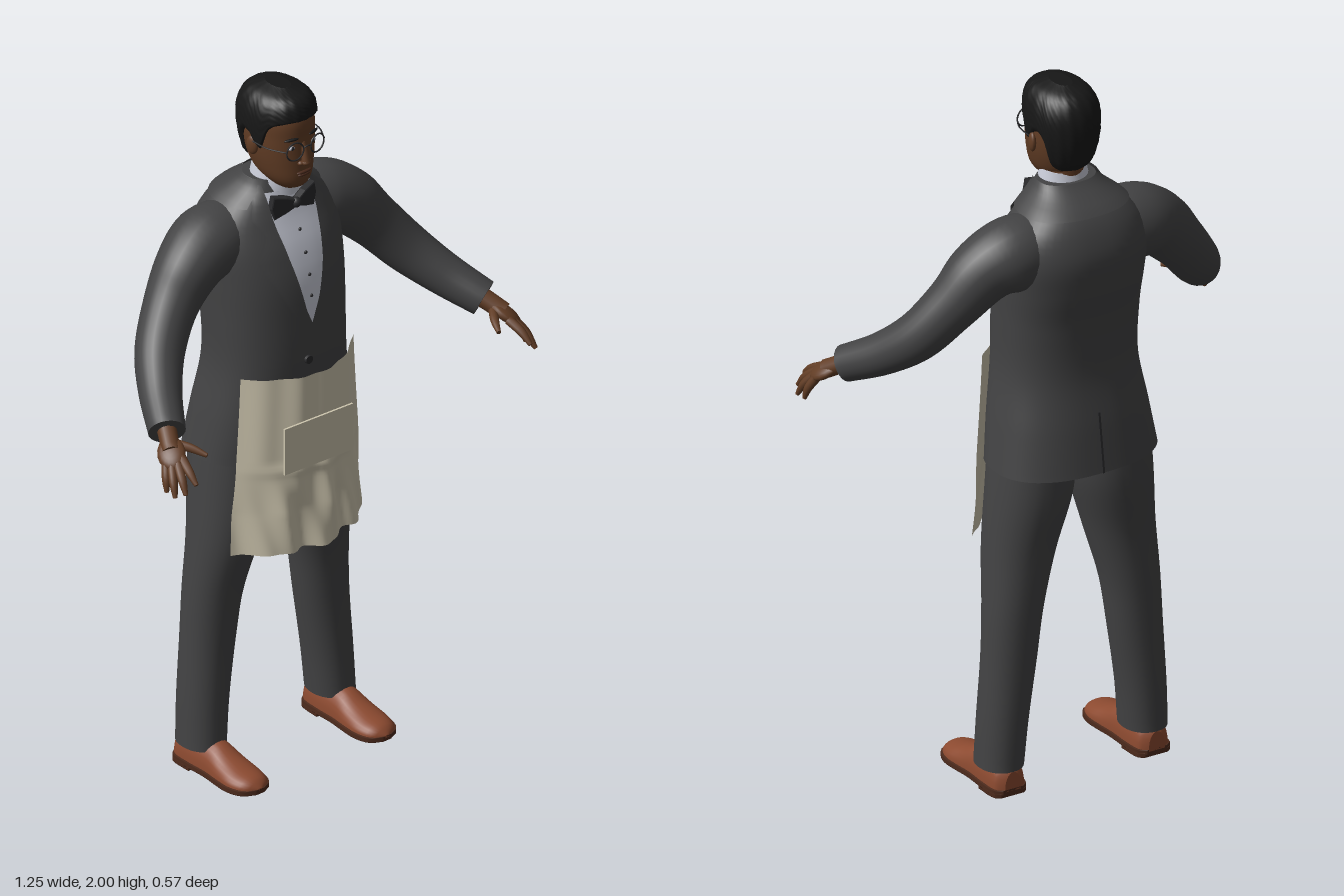
import * as THREE from 'three';

const mat = (name, color, side = THREE.FrontSide) => {
  const m = new THREE.MeshStandardMaterial({ color, side });
  m.name = name;
  return m;
};
const M = {
  suit: mat('charcoal suit', 0x434344, THREE.DoubleSide),
  skin: mat('brown skin', 0x623d25),
  lips: mat('dark lips', 0x4a2a1c),
  hair: mat('black hair', 0x171717, THREE.DoubleSide),
  shirt: mat('pale shirt', 0xc9ccd8, THREE.DoubleSide),
  apron: mat('cream apron', 0xcdc5ae, THREE.DoubleSide),
  shoe: mat('tan leather', 0x8c4a30),
  sole: mat('dark sole', 0x4d2b1d),
  dark: mat('dark trim', 0x29292b),
};
const { sin, cos, abs, sign, PI, max, min } = Math;
const V = (x, y, z) => new THREE.Vector3(x, y, z);

function mesh(parent, name, geo, material, x = 0, y = 0, z = 0) {
  const m = new THREE.Mesh(geo, material);
  m.name = name;
  m.position.set(x, y, z);
  parent.add(m);
  return m;
}

// Smooth lookup in rows of [t, ...values]
function at(K, t) {
  let i = 0;
  while (i < K.length - 2 && t > K[i + 1][0]) i++;
  const a = K[i], b = K[i + 1], p = K[i - 1] || a, q = K[i + 2] || b, h = b[0] - a[0];
  const s = min(1, max(0, (t - a[0]) / h)), s2 = s * s, s3 = s2 * s;
  return a.map((_, k) => {
    const m0 = (b[k] - p[k]) / (b[0] - p[0]) * h, m1 = (q[k] - a[k]) / (q[0] - a[0]) * h;
    return (2 * s3 - 3 * s2 + 1) * a[k] + (s3 - 2 * s2 + s) * m0 + (3 * s2 - 2 * s3) * b[k] + (s3 - s2) * m1;
  });
}

// Surface from fn(u, v); closed ones wrap in u and get flat end caps
function grid(fn, nu, nv, closed = true) {
  const pos = [], idx = [], w = closed ? nu : nu + 1;
  for (let j = 0; j <= nv; j++) for (let i = 0; i < w; i++) pos.push(...fn(i / nu, j / nv));
  for (let j = 0; j < nv; j++) for (let i = 0; i < nu; i++) {
    const a = j * w + i, b = j * w + (i + 1) % w;
    idx.push(a, b, a + w, b, b + w, a + w);
  }
  if (closed) for (const v of [0, 1]) {
    const base = pos.length / 3, c = [0, 0, 0];
    for (let i = 0; i < nu; i++) {
      const p = fn(i / nu, v);
      pos.push(...p);
      p.forEach((e, k) => { c[k] += e / nu; });
    }
    pos.push(...c);
    for (let i = 0; i < nu; i++) {
      const a = base + i, b = base + (i + 1) % nu;
      idx.push(...(v ? [a, b, base + nu] : [b, a, base + nu]));
    }
  }
  const g = new THREE.BufferGeometry();
  g.setAttribute('position', new THREE.Float32BufferAttribute(pos, 3));
  g.setIndex(idx);
  g.computeVertexNormals();
  return g;
}

// Upright body from rows of [y, centreX, halfWidth, backZ, frontZ]
function ringPoint(K, n, th, y, s = 1, grow = 1) {
  const [, cx, rx, zb, zf] = at(K, y), e = 2 / n, c = cos(th), q = sin(th);
  return [s * cx + grow * rx * sign(q) * abs(q) ** e, y,
    (zb + zf) / 2 + grow * (zf - zb) / 2 * sign(c) * abs(c) ** e];
}
function upright(K, n, nu, nv, s = 1) {
  const y0 = K[0][0], y1 = K[K.length - 1][0];
  return grid((u, v) => ringPoint(K, n, u * 2 * PI, y0 + (y1 - y0) * v, s), nu, nv);
}

// Round tube with a changing radius
function sweep(points, radii, nu = 10, nv = 12) {
  const curve = new THREE.CatmullRomCurve3(points), f = curve.computeFrenetFrames(nv);
  const R = radii.map((r, i) => [i / (radii.length - 1), r]);
  return grid((u, v) => {
    const j = Math.round(v * nv), r = at(R, v)[1], a = u * 2 * PI;
    return curve.getPoint(v).addScaledVector(f.normals[j], r * cos(a))
      .addScaledVector(f.binormals[j], r * sin(a)).toArray();
  }, nu, nv);
}
function ball(parent, name, material, x, y, z, sx, sy, sz) {
  const m = mesh(parent, name, new THREE.SphereGeometry(1, 16, 12), material, x, y, z);
  m.scale.set(sx, sy, sz);
  return m;
}

const TORSO = [
  [0.93, 0, 0.238, -0.285, 0.04], [1.05, 0, 0.22, -0.268, 0.055], [1.2, 0, 0.197, -0.245, 0.066],
  [1.35, 0, 0.198, -0.252, 0.062], [1.46, 0, 0.203, -0.272, 0.052], [1.55, 0, 0.205, -0.28, 0.028],
  [1.62, 0, 0.185, -0.262, -0.002], [1.67, 0, 0.14, -0.232, -0.02], [1.705, 0, 0.1, -0.19, -0.03],
  [1.73, 0, 0.082, -0.158, -0.038]];
const frontZ = (x, y) => {
  const [, , rx, zb, zf] = at(TORSO, y);
  return (zb + zf) / 2 + (zf - zb) / 2 * max(0, 1 - abs(x / rx) ** 2.4) ** (1 / 2.4);
};
// Cloth lying on the chest, from rows of [y, x0, x1] going up
function drape(rows, off, s = 1) {
  const n = rows.length - 1;
  return grid((u, v) => {
    const i = min(n - 1, Math.floor(v * n + 1e-6)), f = v * n - i, a = rows[i], b = rows[i + 1];
    const [y, l, r] = a.map((e, k) => e + (b[k] - e) * f);
    const x = s > 0 ? l + (r - l) * u : -(r + (l - r) * u);
    return [x, y, frontZ(x, y) + off];
  }, 8, n * 5, false);
}

function buildJacket(g) {
  mesh(g, 'jacketBody', upright(TORSO, 2.4, 48, 44), M.suit);
  mesh(g, 'shirtFront', drape([[1.33, 0, 0], [1.4, -0.028, 0.028], [1.5, -0.055, 0.055],
    [1.62, -0.075, 0.075], [1.7, -0.08, 0.08]], 0.005), M.shirt);
  const lapel = [[1.27, -0.003, 0.004], [1.4, 0.027, 0.077], [1.53, 0.057, 0.142], [1.59, 0.068, 0.108],
    [1.6, 0.07, 0.104], [1.64, 0.075, 0.127], [1.72, 0.076, 0.09]];
  for (const s of [1, -1]) mesh(g, 'lapel', drape(lapel, 0.011, s), M.suit);
  // collar around the back of the neck
  mesh(g, 'jacketCollar', grid((u, v) => {
    const th = 0.9 + u * (2 * PI - 1.8);
    return ringPoint(TORSO, 2.4, th, 1.665 + 0.068 * v, 1, 1.07);
  }, 30, 6, false), M.suit);
  mesh(g, 'backVent', new THREE.BoxGeometry(0.006, 0.17, 0.008), M.dark, 0, 1.015, -0.274).rotation.x = 0.14;
  mesh(g, 'jacketButton', new THREE.CylinderGeometry(0.012, 0.012, 0.008, 14), M.dark,
    -0.015, 1.225, frontZ(0, 1.225) + 0.004).rotation.x = PI / 2;
  for (const y of [1.59, 1.53, 1.47, 1.41])
    ball(g, 'shirtStud', M.dark, 0, y, frontZ(0, y) + 0.006, 0.005, 0.005, 0.004);
}

function buildCollarAndBow(g) {
  mesh(g, 'shirtCollar', upright([[1.68, 0, 0.075, -0.16, -0.015], [1.72, 0, 0.07, -0.15, -0.02],
    [1.755, 0, 0.062, -0.143, -0.032]], 2, 28, 6), M.shirt);
  for (const s of [1, -1]) {
    const w = new THREE.Shape([[0.005, 0.009], [0.03, 0.02], [0.066, 0.029], [0.072, 0], [0.064, -0.031],
      [0.03, -0.02], [0.005, -0.009]].map(p => new THREE.Vector2(s * p[0], p[1])));
    mesh(g, 'bowWing', new THREE.ExtrudeGeometry(w, { depth: 0.012, bevelSize: 0.004, bevelThickness: 0.005,
      bevelSegments: 2 }), M.dark, 0, 1.665, -0.008).rotation.y = s * 0.2;
  }
  ball(g, 'bowKnot', M.dark, 0, 1.665, 0.002, 0.014, 0.015, 0.014);
}

function buildArm(g, s) {
  const P = (x, y, z) => V(s * x, y, z);
  mesh(g, 'sleeve', sweep([P(0.10, 1.57, -0.13), P(0.19, 1.557, -0.13), P(0.27, 1.52, -0.115),
    P(0.35, 1.438, -0.095), P(0.425, 1.348, -0.05), P(0.487, 1.28, 0.025), P(0.545, 1.225, 0.12)],
  [0.09, 0.102, 0.09, 0.074, 0.067, 0.058, 0.05], 24, 36), M.suit);
  // hand
  mesh(g, 'wrist', sweep([P(0.53, 1.24, 0.095), P(0.553, 1.217, 0.135), P(0.572, 1.195, 0.17)],
    [0.028, 0.026, 0.026], 12, 6), M.skin);
  const a = V(s * 0.04, -0.05, 0.075).normalize(), n = a.clone().cross(V(s * 0.045, -0.015, -0.04)).normalize();
  const w = n.clone().cross(a);
  const palm = ball(g, 'palm', M.skin, s * 0.574, 1.192, 0.172, 0.038, 0.018, 0.05);
  palm.quaternion.setFromRotationMatrix(new THREE.Matrix4().makeBasis(w, n, a));
  const fingers = [
    [[0.563, 1.187, 0.2], [0.572, 1.165, 0.243], [0.575, 1.14, 0.275]],
    [[0.577, 1.18, 0.2], [0.594, 1.147, 0.24], [0.602, 1.115, 0.264]],
    [[0.589, 1.175, 0.192], [0.609, 1.137, 0.222], [0.618, 1.102, 0.24]],
    [[0.597, 1.172, 0.178], [0.612, 1.137, 0.196], [0.618, 1.105, 0.205]],
    [[0.55, 1.205, 0.152], [0.522, 1.197, 0.192], [0.502, 1.185, 0.232]]];
  fingers.forEach((f, i) => mesh(g, i < 4 ? 'finger' : 'thumb',
    sweep(f.map(p => P(...p)), [0.013, 0.0115, 0.006], 10, 8), M.skin));
}

const LEG = [[0.07, 0.222, 0.062, -0.195, -0.05], [0.2, 0.213, 0.066, -0.198, -0.054],
  [0.38, 0.194, 0.074, -0.2, -0.055], [0.52, 0.18, 0.081, -0.203, -0.044], [0.68, 0.154, 0.096, -0.21, -0.012],
  [0.85, 0.124, 0.112, -0.235, 0.005], [1, 0.112, 0.11, -0.24, 0.01]];
// shoe rows: z, half width, height, centre x
const SHOE = [[-0.195, 0.025, 0.07, 0.222], [-0.18, 0.044, 0.092, 0.222], [-0.12, 0.05, 0.1, 0.221],
  [-0.05, 0.05, 0.094, 0.22], [0, 0.055, 0.072, 0.22], [0.05, 0.057, 0.056, 0.22], [0.09, 0.045, 0.046, 0.219],
  [0.108, 0.026, 0.034, 0.218], [0.114, 0.008, 0.024, 0.218]];
function buildLeg(g, s) {
  mesh(g, 'trouserLeg', upright(LEG, 2.15, 28, 32, s), M.suit);
  mesh(g, 'shoeUpper', grid((u, v) => {
    const [z, w, h, cx] = at(SHOE, -0.195 + 0.309 * v), a = u * 2 * PI;
    return [s * cx + w * cos(a), 0.016 + (h - 0.016) * max(0, sin(a)) ** 0.8, z];
  }, 28, 30), M.shoe);
  const slab = (name, z0, z1, y0, y1) => mesh(g, name, grid((u, v) => {
    const [z, w, , cx] = at(SHOE, z0 + (z1 - z0) * v), a = u * 2 * PI + PI / 4;
    const c = max(-1, min(1, cos(a) * 1.5)), q = max(-1, min(1, sin(a) * 1.5));
    return [s * cx + (w + 0.005) * c, (y0 + y1) / 2 + (y1 - y0) / 2 * q, z];
  }, 24, 24), M.sole);
  slab('sole', -0.195, 0.114, 0.008, 0.022);
  slab('heel', -0.192, -0.11, 0, 0.012);
}

function buildApron(g) {
  mesh(g, 'apronCloth', grid((u, v) => {
    const y = 0.68 + 0.52 * v, t = u * 2 - 1, w = 0.192 + 0.035 * (1 - v) ** 1.2;
    const k = min(1, max(0, (0.95 - y) / 0.15));
    const fold = k * (0.013 * sin(t * 10 + 0.8) + 0.006 * sin(t * 19 + y * 22));
    const crease = 0.006 * Math.exp(-(((y - 0.925) / 0.015) ** 2)) * cos(t * 1.5);
    return [t * w, y, 0.005 + 0.103 * (1 - t * t) + fold * (1 - 0.4 * t * t) + crease + 0.003 * sin(t * 14)];
  }, 60, 48, false), M.apron);
  mesh(g, 'apronPocket', new THREE.BoxGeometry(0.228, 0.138, 0.006), M.apron, -0.025, 1.01, 0.121).rotation.y = -0.04;
}

const HEAD = [[1.713, 0, 0.03, -0.07, 0.005], [1.725, 0, 0.045, -0.1, 0.024], [1.75, 0, 0.063, -0.135, 0.034],
  [1.79, 0, 0.076, -0.16, 0.035], [1.83, 0, 0.083, -0.172, 0.034], [1.87, 0, 0.085, -0.178, 0.033],
  [1.92, 0, 0.083, -0.175, 0.03], [1.96, 0, 0.066, -0.15, 0.008], [1.985, 0, 0.03, -0.11, -0.03]];
const HAIR = [[1.75, 0, 0.074, -0.155, 0.03], [1.83, 0, 0.088, -0.186, 0.036], [1.9, 0, 0.094, -0.194, 0.038],
  [1.95, 0, 0.087, -0.184, 0.038], [1.982, 0, 0.064, -0.158, 0.018], [1.998, 0, 0.025, -0.115, -0.03]];
const HAIRLINE = [[0, 1.925], [0.6, 1.922], [1.05, 1.9], [1.3, 1.835], [1.45, 1.84], [1.6, 1.872],
  [1.9, 1.865], [2.2, 1.785], [PI, 1.765]];
function buildHead(g) {
  mesh(g, 'neck', upright([[1.66, 0, 0.06, -0.145, -0.035], [1.8, 0, 0.056, -0.145, -0.03]], 2, 24, 4), M.skin);
  mesh(g, 'face', upright(HEAD, 2.2, 40, 32), M.skin);
  mesh(g, 'hair', grid((u, v) => {
    const th = u * 2 * PI, y0 = at(HAIRLINE, th > PI ? 2 * PI - th : th)[1];
    const y = y0 + (1.998 - y0) * sin(v * PI / 2);
    const curl = 0.014 * sin(u * 150 + v * 31) * sin(v * 27 + u * 40);
    return ringPoint(HAIR, 2.2, th, y, 1, v === 0 ? 0.93 : 1 + curl);
  }, 96, 24), M.hair);
  mesh(g, 'nose', sweep([V(0, 1.86, 0.028), V(0, 1.83, 0.037), V(0, 1.803, 0.042)], [0.007, 0.009, 0.012], 12, 8), M.skin);
  ball(g, 'noseTip', M.skin, 0, 1.803, 0.042, 0.013, 0.009, 0.012);
  ball(g, 'upperLip', M.lips, 0, 1.772, 0.034, 0.025, 0.005, 0.007);
  ball(g, 'lowerLip', M.lips, 0, 1.764, 0.033, 0.021, 0.005, 0.007);
  for (const s of [1, -1]) {
    ball(g, 'nostril', M.skin, s * 0.012, 1.801, 0.034, 0.009, 0.007, 0.009);
    ball(g, 'eyeWhite', M.shirt, s * 0.035, 1.85, 0.025, 0.012, 0.0055, 0.006);
    ball(g, 'iris', M.dark, s * 0.035, 1.85, 0.029, 0.0055, 0.0055, 0.003);
    const brow = ball(g, 'eyebrow', M.hair, s * 0.038, 1.876, 0.027, 0.021, 0.004, 0.005);
    brow.rotation.set(0, s * 0.35, s * -0.05);
    ball(g, 'ear', M.skin, s * 0.087, 1.838, -0.073, 0.01, 0.028, 0.018).rotation.y = s * -0.3;
    // round spectacles
    mesh(g, 'spectacleRim', new THREE.TorusGeometry(0.026, 0.0022, 6, 28), M.dark, s * 0.038, 1.848, 0.043).rotation.y = s * 0.15;
    mesh(g, 'spectacleArm', sweep([V(s * 0.064, 1.852, 0.04), V(s * 0.088, 1.853, -0.01), V(s * 0.092, 1.853, -0.075)],
      [0.002, 0.002, 0.002], 6, 8), M.dark);
  }
  mesh(g, 'spectacleBridge', sweep([V(-0.013, 1.852, 0.046), V(0, 1.856, 0.049), V(0.013, 1.852, 0.046)],
    [0.002, 0.002, 0.002], 6, 6), M.dark);
}

export function createModel() {
  const model = new THREE.Group();
  model.name = 'manInSuitAndApron';
  const part = (name, build, ...args) => {
    const g = new THREE.Group();
    g.name = name;
    build(g, ...args);
    model.add(g);
  };
  part('jacket', buildJacket);
  part('collarAndBow', buildCollarAndBow);
  part('leftArm', buildArm, 1);
  part('rightArm', buildArm, -1);
  part('leftLeg', buildLeg, 1);
  part('rightLeg', buildLeg, -1);
  part('apron', buildApron);
  part('head', buildHead);
  return model;
}
